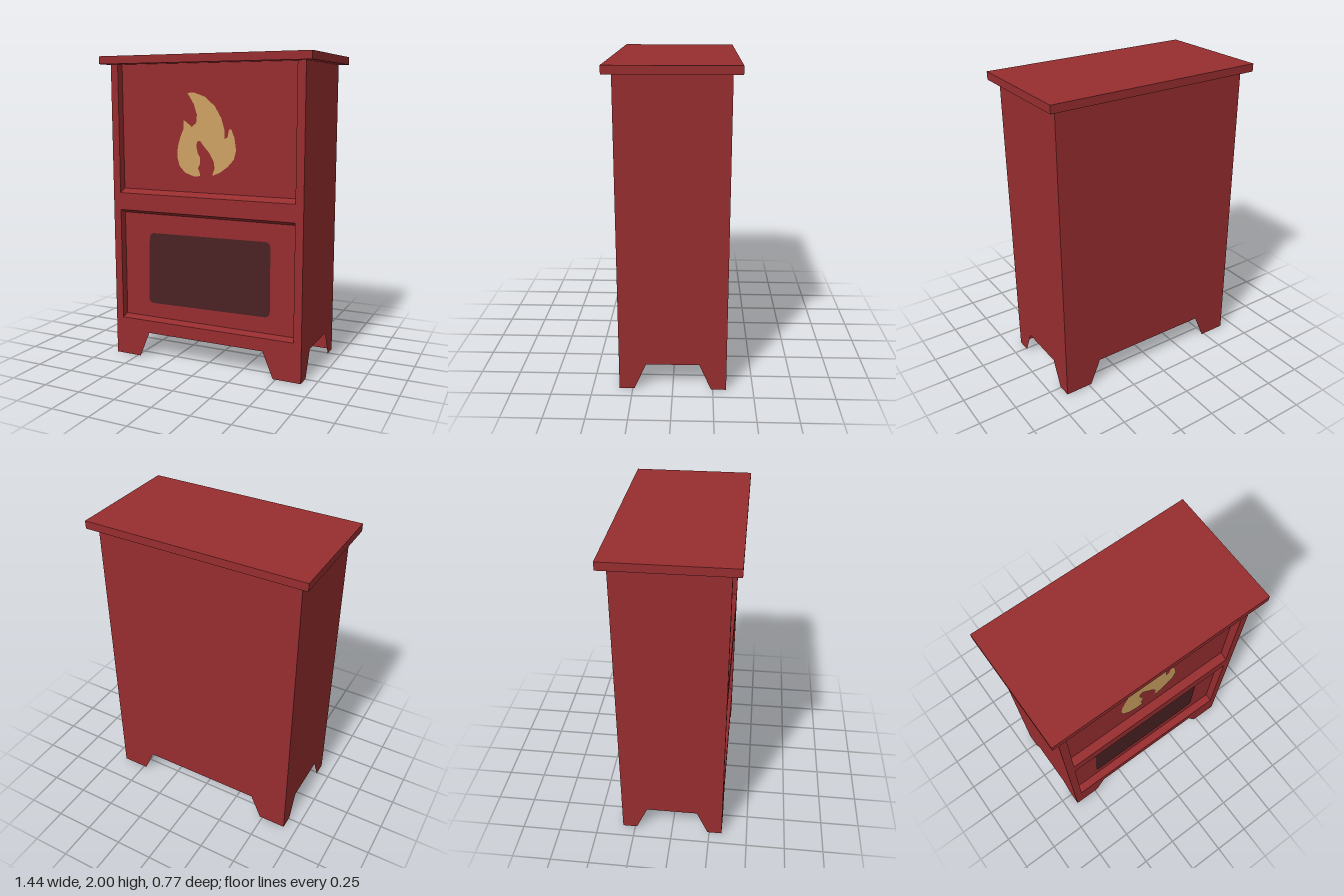
import * as THREE from 'three';

const W = 0.665, D = 0.333;      // half width and half depth of the cabinet
const OPEN = 0.613;              // half width of the front recesses
const BACK = 0.28;               // z of the recessed panels
const BASE = 0.17, TOP = 1.95;   // underside and upper edge of the cabinet

const red = new THREE.MeshStandardMaterial({ color: 0x972d2f, side: THREE.DoubleSide });
red.name = 'cabinet red';
const dark = new THREE.MeshStandardMaterial({ color: 0x4a2223, side: THREE.DoubleSide });
dark.name = 'window brown';
const gold = new THREE.MeshStandardMaterial({ color: 0xcda162, side: THREE.DoubleSide });
gold.name = 'flame gold';

const shapeOf = (pts) => new THREE.Shape(pts.map(([x, y]) => new THREE.Vector2(x, y)));

export function createModel() {
  const model = new THREE.Group();
  model.name = 'stove';

  const add = (name, geometry, material, parent = model) => {
    const mesh = new THREE.Mesh(geometry, material);
    mesh.name = name;
    parent.add(mesh);
    return mesh;
  };
  // Box given by its limits on each axis
  const block = (name, [x0, x1], [y0, y1], [z0, z1]) =>
    add(name, new THREE.BoxGeometry(x1 - x0, y1 - y0, z1 - z0), red)
      .position.set((x0 + x1) / 2, (y0 + y1) / 2, (z0 + z1) / 2);
  // Rail across the front with a (z, y) cross-section
  const rail = (name, profile) => {
    const g = new THREE.ExtrudeGeometry(shapeOf(profile.map(([z, y]) => [-z, y])),
      { depth: 2 * OPEN, bevelEnabled: false });
    g.rotateY(Math.PI / 2).translate(-OPEN, 0, 0);
    add(name, g, red);
  };

  // Cabinet, overhanging top and front frame
  block('cabinet', [-W, W], [BASE, TOP], [-D, BACK]);
  block('topSlab', [-0.718, 0.718], [TOP, 2], [-0.386, 0.386]);
  block('leftStile', [OPEN, W], [BASE, TOP], [BACK, D]);
  block('rightStile', [-W, -OPEN], [BASE, TOP], [BACK, D]);
  rail('bottomRail', [[D, BASE], [D, 0.255], [BACK, 0.27], [BACK, BASE]]);
  rail('middleRail', [[D, 1.0], [D, 1.113], [BACK, 1.138], [BACK, 0.976]]);

  // Corner feet, each two thin tapering sheets, open on the inside
  const frontSheet = new THREE.ShapeGeometry(shapeOf([[W, 0], [W, BASE], [0.41, BASE], [0.481, 0]]));
  frontSheet.translate(0, 0, D);
  const sideSheet = new THREE.ShapeGeometry(shapeOf([[-D, 0], [-D, BASE], [-0.165, BASE], [-0.239, 0]]));
  sideSheet.rotateY(Math.PI / 2).translate(W, 0, 0);
  for (const sx of [1, -1]) for (const sz of [1, -1]) {
    const foot = new THREE.Group();
    foot.name = (sz > 0 ? 'front' : 'back') + (sx > 0 ? 'Left' : 'Right') + 'Foot';
    add('footFace', frontSheet, red, foot);
    add('footSide', sideSheet, red, foot);
    foot.scale.set(sx, 1, sz);
    model.add(foot);
  }

  // Oven window: slightly skewed panel with rounded corners
  const corners = [[-0.436, 0.366], [0.438, 0.376], [0.438, 0.858], [-0.423, 0.848]]
    .map(([x, y]) => new THREE.Vector2(x, y));
  const win = new THREE.Shape();
  corners.forEach((c, i) => {
    const toward = (o) => c.clone().add(o.clone().sub(c).setLength(0.04));
    const a = toward(corners[(i + 3) % 4]), b = toward(corners[(i + 1) % 4]);
    if (i) win.lineTo(a.x, a.y); else win.moveTo(a.x, a.y);
    win.quadraticCurveTo(c.x, c.y, b.x, b.y);
  });
  win.closePath();
  add('ovenWindow', new THREE.ShapeGeometry(win, 6), dark).position.z = BACK + 0.003;

  // Flame emblem, outline in hundredths of a unit
  const flame = [
    [-13, 176.5], [-9, 177], [-1, 174.3], [6, 168.5], [10.5, 161], [12.6, 153.7], [12.6, 148.4],
    [14.7, 149.4], [15.7, 154.2], [17.3, 154.2], [19.4, 149], [20.5, 141.5], [18.9, 135.6],
    [14.7, 131], [9.4, 127.2], [4.1, 125], [5.7, 129.8], [5.1, 134], [2, 139.4], [-2.3, 144.1],
    [-4.4, 146.8], [-6.5, 146.3], [-7, 143], [-6, 138.8], [-4.4, 136.2], [-4.4, 132.5],
    [-6, 129.3], [-4.9, 127.2], [-4.4, 124.5], [-8.6, 124], [-15, 126.1], [-19.2, 130.4],
    [-20.8, 136.2], [-20.3, 143], [-18.2, 149.5], [-16, 154.2], [-16, 159.5], [-14, 158.5],
    [-10.2, 155.3], [-7, 158], [-6.5, 163.2], [-8.6, 169.6],
  ];
  const flameShape = shapeOf(flame.map(([x, y]) => [x / 100, y / 100]));
  add('flameEmblem', new THREE.ShapeGeometry(flameShape), gold).position.z = BACK + 0.003;

  return model;
}
